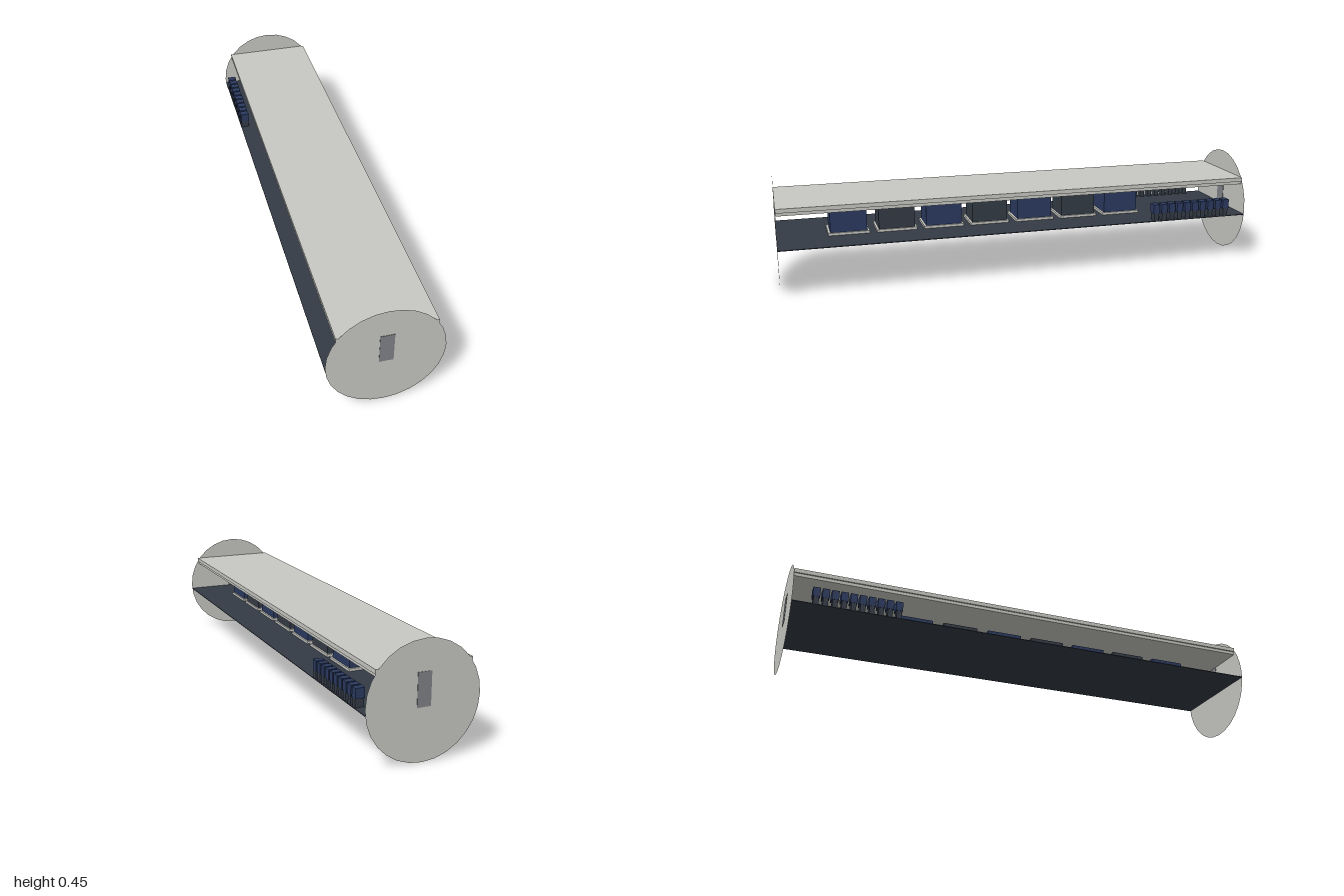
import * as THREE from 'three';

export function createModel() {
  const root = new THREE.Group();
  root.name = 'cabin';

  const mat = (name, color, side = THREE.FrontSide) => {
    const m = new THREE.MeshStandardMaterial({ color, side });
    m.name = name;
    return m;
  };
  const panel = mat('warm light grey', 0xc8c8c3);
  const bulkheadMat = mat('bulkhead grey', 0xc8c8c3, THREE.DoubleSide);
  const doorMat = mat('door grey', 0x808389);
  const slate = mat('slate', 0x343b46);
  const navy = mat('navy', 0x2b3a60);

  const box = (parent, name, material, w, h, d, x, y, z) => {
    const m = new THREE.Mesh(new THREE.BoxGeometry(w, h, d), material);
    m.name = name;
    m.position.set(x, y, z);
    parent.add(m);
    return m;
  };

  // Floor and the two-step ceiling panel
  const floorY = 0.203;
  box(root, 'floor', slate, 0.444, 0.003, 1.996, 0, floorY - 0.0015, 0);
  box(root, 'ceilingPanel', panel, 0.374, 0.017, 1.996, 0, 0.3515, 0);
  box(root, 'ceilingLining', panel, 0.362, 0.013, 1.996, 0, 0.3365, 0);

  // Round end bulkheads, each with a door plate
  const R = 0.2235;
  for (const s of [1, -1]) {
    const disc = new THREE.Mesh(new THREE.CircleGeometry(R, 28), bulkheadMat);
    disc.name = s > 0 ? 'frontBulkhead' : 'rearBulkhead';
    disc.position.set(0, R, s * 0.9985);
    if (s < 0) disc.rotation.y = Math.PI;
    root.add(disc);
    box(root, s > 0 ? 'frontDoor' : 'rearDoor', doorMat, 0.054, 0.127, 0.003, 0, 0.2665, s * 0.9985);
  }

  // Row of central suites in alternating colours on pale plinths
  for (let i = 0; i < 7; i++) {
    const suite = new THREE.Group();
    suite.name = 'suite' + (i + 1);
    suite.position.set(0, floorY, 0.71 - i * 0.1978);
    box(suite, 'plinth', panel, 0.14, 0.01, 0.168, 0, 0.005, 0);
    box(suite, 'suiteBody', i % 2 ? slate : navy, 0.126, 0.087, 0.15, 0, 0.0535, 0);
    root.add(suite);
  }

  // Ten rear seats along each side
  for (const s of [1, -1]) {
    for (let i = 0; i < 10; i++) {
      const seat = new THREE.Group();
      seat.name = (s > 0 ? 'left' : 'right') + 'Seat' + (i + 1);
      seat.position.set(s * 0.203, floorY, -0.582 - i * 0.0362);
      box(seat, 'seatBase', slate, 0.034, 0.034, 0.02, 0, 0.017, 0);
      box(seat, 'seatBody', navy, 0.036, 0.039, 0.028, 0, 0.0525, 0);
      root.add(seat);
    }
  }

  return root;
}
